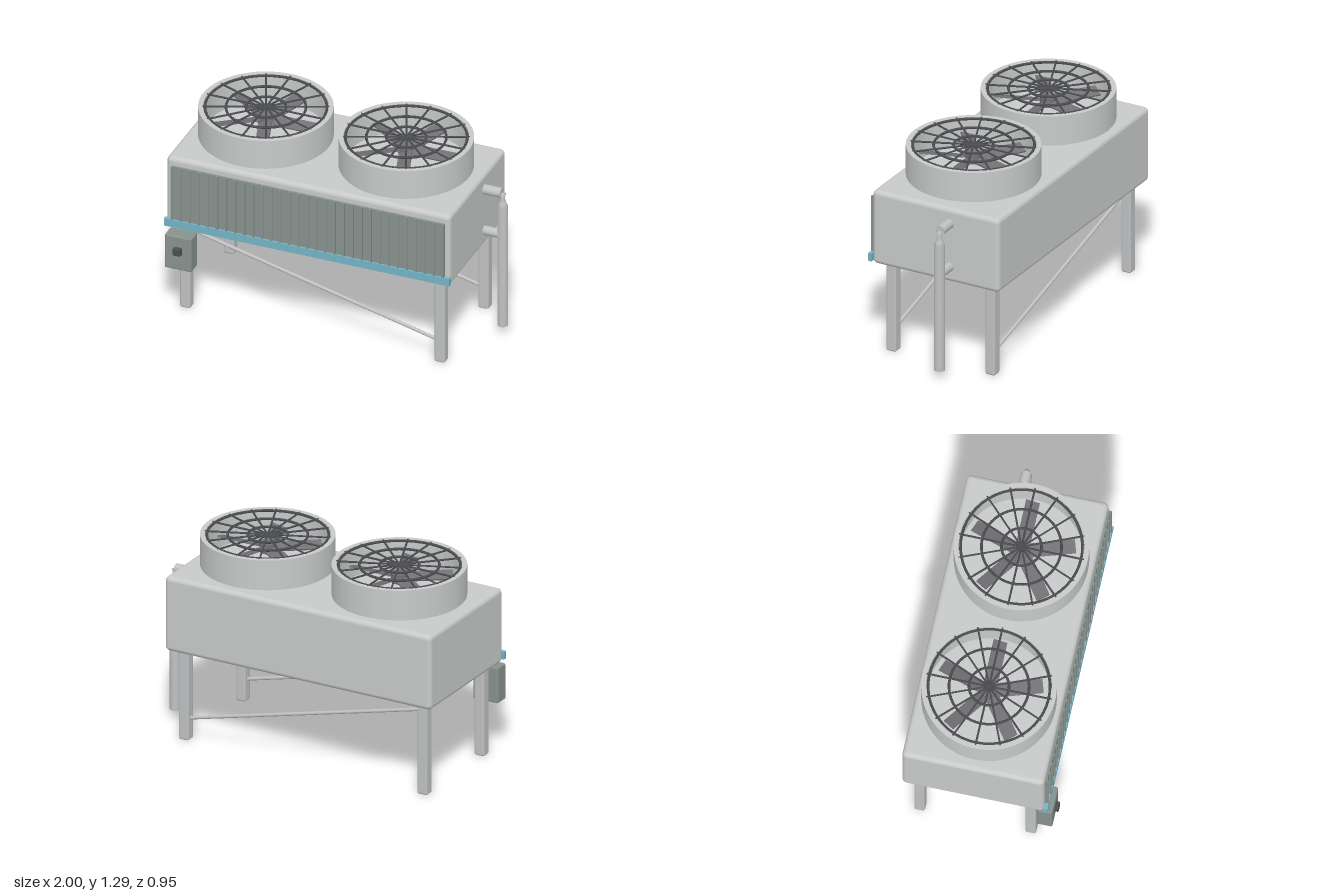
import * as THREE from 'three';
import { RoundedBoxGeometry } from 'three/addons/geometries/RoundedBoxGeometry.js';

const mat = (name, color) => {
  const m = new THREE.MeshStandardMaterial({ color });
  m.name = name;
  return m;
};

export function createModel() {
  const casing = mat('casing grey', 0xc8caca);
  const steel = mat('steel grey', 0xbfc1c2);
  const coil = mat('coil grey', 0x88928d);
  const blue = mat('trough blue', 0x74b4c6);
  const dark = mat('dark grille', 0x4b4d50);
  const bladeGrey = mat('blade grey', 0x727276);

  const model = new THREE.Group();
  model.name = 'rooftopCondenser';
  const add = (name, geo, material, x = 0, y = 0, z = 0, parent = model) => {
    const mesh = new THREE.Mesh(geo, material);
    mesh.name = name;
    mesh.position.set(x, y, z);
    parent.add(mesh);
    return mesh;
  };
  // Round rod between two points
  const rod = (name, a, b, r, material, parent = model, sides = 12) => {
    const from = new THREE.Vector3(...a), to = new THREE.Vector3(...b);
    const dir = to.clone().sub(from);
    const mesh = add(name, new THREE.CylinderGeometry(r, r, dir.length(), sides), material, 0, 0, 0, parent);
    mesh.position.copy(from).add(to).multiplyScalar(0.5);
    mesh.quaternion.setFromUnitVectors(new THREE.Vector3(0, 1, 0), dir.normalize());
    return mesh;
  };

  // Casing
  add('casing', new RoundedBoxGeometry(1.84, 0.485, 0.87, 4, 0.03), casing, -0.075, 0.8275, -0.035);

  // Finned coil on the front
  add('coilPanel', new THREE.BoxGeometry(1.77, 0.375, 0.02), coil, -0.072, 0.828, 0.402);
  const finGeo = new THREE.BoxGeometry(0.012, 0.375, 0.016);
  for (let i = 0; i <= 30; i++) add('coilFin', finGeo, coil, -0.951 + i * 0.0586, 0.828, 0.415);

  // Drip trough below the coil
  add('dripTrough', new THREE.BoxGeometry(1.85, 0.05, 0.025), blue, -0.075, 0.625, 0.412);

  // Legs and diagonal braces
  const legGeo = new RoundedBoxGeometry(0.068, 0.6, 0.066, 3, 0.012);
  for (const z of [0.305, -0.375]) {
    for (const x of [-0.9, 0.75]) add('leg', legGeo, steel, x, 0.3, z);
    rod('brace', [-0.88, 0.542, z], [0.74, 0.135, z], 0.011, steel);
  }

  // Switch box
  add('switchBox', new RoundedBoxGeometry(0.174, 0.232, 0.095, 2, 0.01), coil, -0.898, 0.442, 0.4025);
  add('switchKnob', new RoundedBoxGeometry(0.052, 0.05, 0.035, 2, 0.007), dark, -0.898, 0.46, 0.458);

  // Riser pipe with a pinched top joint and two stubs into the casing
  const pz = -0.132;
  const riser = [[0, 0.055], [0.033, 0.055], [0.033, 0.88], [0.022, 0.905], [0.012, 0.935], [0.02, 0.965], [0, 0.975]]
    .map(([r, y]) => new THREE.Vector2(r, y));
  // Split at the bottom rim for a crisp edge
  add('riserPipe', new THREE.LatheGeometry(riser.slice(1), 24), steel, 0.965, 0, pz);
  add('riserEnd', new THREE.CircleGeometry(0.033, 24).rotateX(Math.PI / 2), steel, 0.965, 0.055, pz);
  rod('upperStub', [0.82, 0.972, pz], [0.958, 0.972, pz], 0.031, steel, model, 20);
  rod('lowerStub', [0.82, 0.687, pz], [0.95, 0.687, pz], 0.029, steel, model, 20);

  // Fans: shroud, grille and five pitched blades
  const wall = new THREE.Shape().absarc(0, 0, 0.406, 0, Math.PI * 2);
  wall.holes.push(new THREE.Path().absarc(0, 0, 0.376, 0, Math.PI * 2, true));
  const shroudGeo = new THREE.ExtrudeGeometry(wall, { depth: 0.193, bevelEnabled: false, curveSegments: 64 });
  shroudGeo.rotateX(-Math.PI / 2);
  // Radial normals keep the round walls smooth
  const pos = shroudGeo.attributes.position, nor = shroudGeo.attributes.normal;
  for (let i = 0; i < pos.count; i++) {
    if (Math.abs(nor.getY(i)) > 0.5) continue;
    const r = Math.hypot(pos.getX(i), pos.getZ(i)), s = r > 0.39 ? 1 : -1;
    nor.setXYZ(i, s * pos.getX(i) / r, 0, s * pos.getZ(i) / r);
  }
  const bladeGeo = new THREE.BoxGeometry(0.28, 0.01, 0.085);
  bladeGeo.rotateX(0.3).translate(0.185, 0, 0);

  for (const x of [-0.53, 0.38]) {
    const fan = new THREE.Group();
    fan.name = 'fan';
    fan.position.set(x, 1.092, -0.036);
    model.add(fan);
    add('shroud', shroudGeo, casing, 0, 0, 0, fan);
    for (const r of [0.12, 0.24, 0.365])
      add('grilleRing', new THREE.TorusGeometry(r, 0.008, 6, 48).rotateX(Math.PI / 2), dark, 0, 0.188, 0, fan);
    for (let i = 0; i < 16; i++) {
      const a = i * Math.PI / 8;
      rod('grilleSpoke', [0, 0.19, 0], [0.382 * Math.cos(a), 0.19, 0.382 * Math.sin(a)], 0.006, dark, fan, 6);
    }
    add('hub', new THREE.CylinderGeometry(0.05, 0.05, 0.06, 20), bladeGrey, 0, 0.11, 0, fan);
    for (let i = 0; i < 5; i++)
      add('blade', bladeGeo, bladeGrey, 0, 0.11, 0, fan).rotation.y = i * Math.PI * 0.4;
  }
  return model;
}
